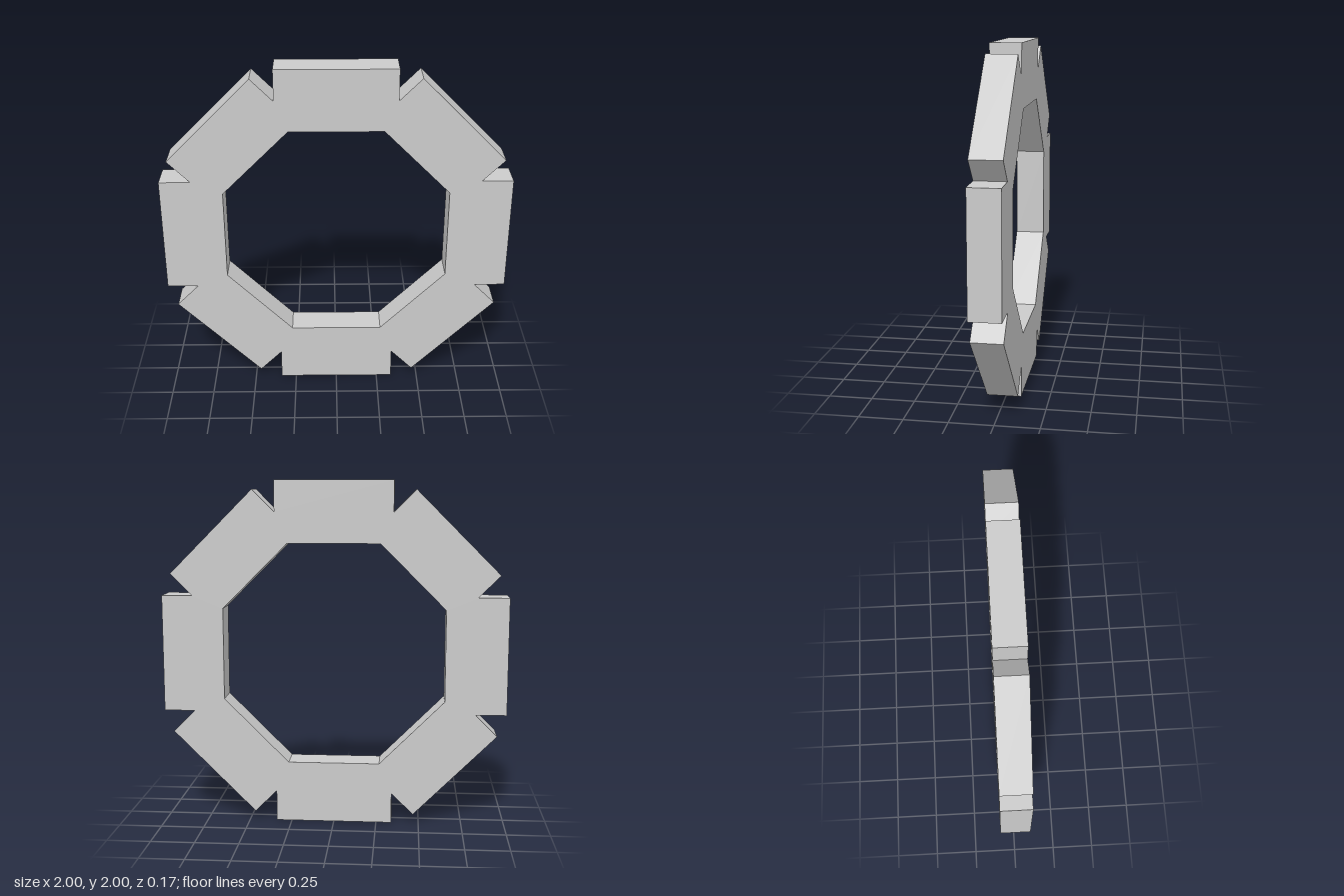
import * as THREE from 'three';

const SIDES = 8;
const OUTER = 1;        // centre to outer face of each block
const INNER = 0.643;    // centre to inner face of each block
const HALF = 0.34;      // half the length of a block
const DEPTH = 0.175;

// Point given by its distance out and along one side, turned to side i
function sidePoint(i, out, along) {
  return new THREE.Vector2(along, out).rotateAround(new THREE.Vector2(), (i * 2 * Math.PI) / SIDES);
}

export function createModel() {
  const group = new THREE.Group();
  const tan = Math.tan(Math.PI / SIDES);
  const outline = [];
  const opening = [];

  // Each side adds a square-ended block, the V notch after it and an inner corner
  for (let i = 0; i < SIDES; i++) {
    outline.push(
      sidePoint(i, OUTER, HALF),
      sidePoint(i, OUTER, -HALF),
      sidePoint(i, HALF / tan, -HALF)
    );
    opening.push(sidePoint(i, INNER, INNER * tan));
  }

  const shape = new THREE.Shape(outline);
  shape.holes.push(new THREE.Path(opening));
  const geometry = new THREE.ExtrudeGeometry(shape, { depth: DEPTH, bevelEnabled: false });
  geometry.translate(0, OUTER, -DEPTH / 2);

  // Octagonal ring of eight joined blocks
  const ring = new THREE.Mesh(
    geometry,
    new THREE.MeshStandardMaterial({ color: 0xcccccc, flatShading: true })
  );
  ring.name = 'octagonalRing';
  group.add(ring);
  return group;
}
